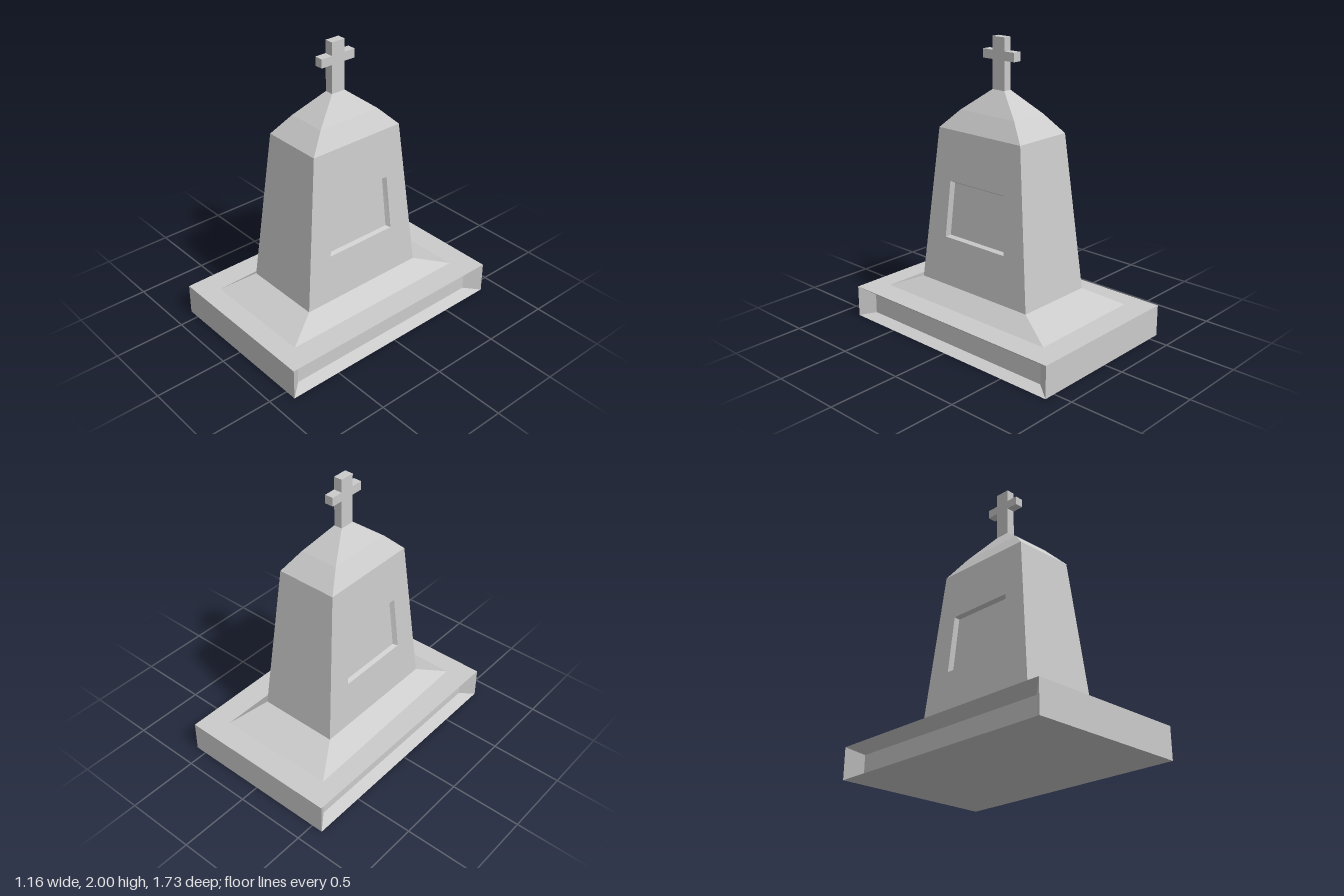
import * as THREE from 'three';

const material = new THREE.MeshStandardMaterial({ color: 0xcccccc, flatShading: true });

// Joins four-cornered rings with quads; closes the last ring if asked
function loft(rings, cap = false) {
  const pos = [];
  const quad = (a, b, c, d) => pos.push(...a, ...b, ...c, ...a, ...c, ...d);
  for (let i = 0; i + 1 < rings.length; i++) {
    const [a, b] = [rings[i], rings[i + 1]];
    for (let j = 0; j < 4; j++) {
      const k = (j + 1) % 4;
      quad(a[j], a[k], b[k], b[j]);
    }
  }
  if (cap) quad(...rings[rings.length - 1]);
  const g = new THREE.BufferGeometry();
  g.setAttribute('position', new THREE.Float32BufferAttribute(pos, 3));
  g.computeVertexNormals();
  return g;
}

// Horizontal rectangle, counter-clockwise from above, starting front left of view
const rect = (y, x, zFront, zBack) =>
  [[-x, y, zFront], [x, y, zFront], [x, y, zBack], [-x, y, zBack]];

const mirrorX = ring => ring.map(([x, y, z]) => [-x, y, z]).reverse();

function addMesh(parent, name, geometry) {
  const mesh = new THREE.Mesh(geometry, material);
  mesh.name = name;
  parent.add(mesh);
}

// Tapered block whose two long sides carry a sunken panel
function recessedBlock(name, low, high, panelRings) {
  const group = new THREE.Group();
  group.name = name;
  const side = [[low[1], low[2], high[2], high[1]], ...panelRings];
  addMesh(group, 'front', loft([[low[0], low[1], high[1], high[0]]], true));
  addMesh(group, 'back', loft([[low[2], low[3], high[3], high[2]]], true));
  addMesh(group, 'top', loft([high], true));
  addMesh(group, 'bottom', loft([[...low].reverse()], true));
  addMesh(group, 'leftSide', loft(side, true));
  addMesh(group, 'rightSide', loft(side.map(mirrorX), true));
  return group;
}

export function createModel() {
  const model = new THREE.Group();
  model.name = 'monument';

  // Base slab with a bevelled groove along each long side
  const grooveX = 0.5;
  model.add(recessedBlock('base', rect(0, 0.58, 0.865, -0.865), rect(0.22, 0.58, 0.865, -0.865), [
    [[grooveX, 0.025, 0.77], [grooveX, 0.025, -0.755], [grooveX, 0.16, -0.755], [grooveX, 0.16, 0.77]],
  ]));

  // Sloping skirt, slightly uneven at its foot
  const foot = [[-0.41, 0.22, 0.72], [0.41, 0.22, 0.72], [0.41, 0.22, -0.70], [-0.44, 0.22, -0.69]];
  addMesh(model, 'skirt', loft([foot, rect(0.317, 0.287, 0.5, -0.445)]));

  // Tapered body with a sunken plaque on each long side
  const wallX = y => 0.287 - 0.07 * (y - 0.317) / (1.388 - 0.317);
  const plaque = (y0, y1, front0, back0, front1, back1, depth) => {
    const [x0, x1] = [wallX(y0) - depth, wallX(y1) - depth];
    return [[x0, y0, front0], [x0, y0, back0], [x1, y1, back1], [x1, y1, front1]];
  };
  model.add(recessedBlock('body', rect(0.317, 0.287, 0.5, -0.445), rect(1.388, 0.217, 0.385, -0.33), [
    plaque(0.652, 1.045, 0.295, -0.237, 0.267, -0.211, 0),
    plaque(0.663, 1.03, 0.275, -0.217, 0.25, -0.195, 0.028),
  ]));

  // Curved hipped cap in two slopes
  addMesh(model, 'roof', loft([
    rect(1.388, 0.217, 0.385, -0.33),
    rect(1.51, 0.14, 0.265, -0.21),
    rect(1.657, 0.03, 0.078, -0.025),
  ], true));

  // Cross, its arms running front to back
  const outline = [[-0.078, 1.655], [0.025, 1.655], [0.025, 1.852], [0.108, 1.852], [0.108, 1.912],
    [0.025, 1.912], [0.025, 2], [-0.078, 2], [-0.078, 1.912], [-0.16, 1.912], [-0.16, 1.852], [-0.078, 1.852]];
  const shape = new THREE.Shape(outline.map(([x, y]) => new THREE.Vector2(x, y)));
  const cross = new THREE.ExtrudeGeometry(shape, { depth: 0.06, bevelEnabled: false });
  cross.translate(0, 0, -0.03).rotateY(Math.PI / 2);
  addMesh(model, 'cross', cross);

  return model;
}
